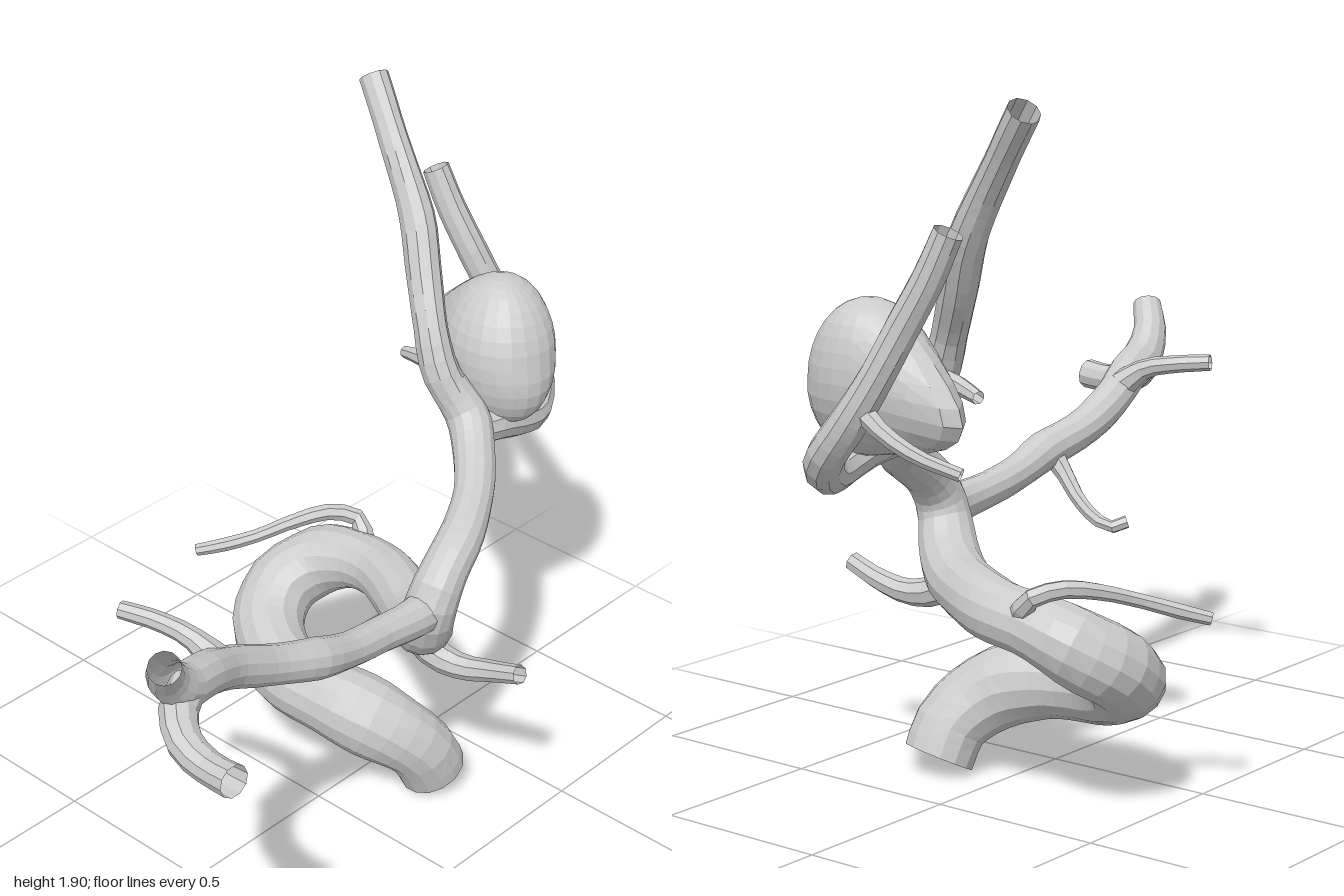
import * as THREE from 'three';

const material = new THREE.MeshStandardMaterial({ color: 0xcccccc, flatShading: true, side: THREE.DoubleSide });

// Gentle, repeatable surface unevenness
const ripple = (x, y, z) => Math.sin(23 * x + 5 * y) * Math.sin(19 * y + 4 * z) + Math.sin(21 * z + 7 * x);

// Open tube along points [x, y, z, radius], radius eased between points
function vessel(name, points, sides = 12, step = 0.045) {
  const curve = new THREE.CatmullRomCurve3(points.map(([x, y, z]) => new THREE.Vector3(x, y, z)));
  const rings = Math.max(4, Math.round(curve.getLength() / step));
  const geometry = new THREE.TubeGeometry(curve, rings, 1, sides, false);
  const pos = geometry.attributes.position;
  const v = new THREE.Vector3();
  for (let i = 0; i <= rings; i++) {
    const u = i / rings;
    const centre = curve.getPointAt(u);
    const t = curve.getUtoTmapping(u) * (points.length - 1);
    const k = Math.min(Math.floor(t), points.length - 2);
    const r = THREE.MathUtils.lerp(points[k][3], points[k + 1][3], t - k);
    for (let j = 0; j <= sides; j++) {
      const n = i * (sides + 1) + j;
      v.fromBufferAttribute(pos, n).sub(centre).multiplyScalar(r).add(centre);
      const swell = 1 + 0.035 * ripple(v.x, v.y, v.z);
      v.sub(centre).multiplyScalar(swell).add(centre);
      pos.setXYZ(n, v.x, v.y, v.z);
    }
  }
  geometry.computeVertexNormals();
  const mesh = new THREE.Mesh(geometry, material);
  mesh.name = name;
  return mesh;
}

// Bulging sac: an ellipsoid drawn out to a blunt point at the back
function sac() {
  const geometry = new THREE.SphereGeometry(1, 22, 16);
  const pos = geometry.attributes.position;
  const v = new THREE.Vector3();
  const tip = new THREE.Vector3(0.2, -0.25, -1).normalize();
  for (let i = 0; i < pos.count; i++) {
    v.fromBufferAttribute(pos, i);
    const pull = 0.19 * Math.pow(Math.max(0, v.dot(tip)), 4);
    const swell = 1 + 0.015 * ripple(v.x * 0.2, v.y * 0.2, v.z * 0.2);
    const lean = 0.025 * v.y; // upper part leans outward and back
    const low = 0.035 * Math.max(0, -v.y) * Math.max(0, v.z);
    v.set(v.x * 0.15 * swell + lean, v.y * 0.207 * swell, v.z * 0.17 * swell - lean + low);
    v.addScaledVector(tip, pull);
    pos.setXYZ(i, v.x, v.y, v.z);
  }
  geometry.computeVertexNormals();
  const mesh = new THREE.Mesh(geometry, material);
  mesh.name = 'sac';
  mesh.position.set(0.752, 1.16, 0);
  return mesh;
}

export function createModel() {
  const group = new THREE.Group();
  group.name = 'branchingVessel';

  group.add(
    // Thick looping stem that narrows into the left trunk and its tall branch
    vessel('loopingStem', [
      [0.285, 0.015, 0.18, 0.098], [0.24, 0.11, 0.165, 0.105], [0.16, 0.2, 0.08, 0.115],
      [0.115, 0.235, -0.05, 0.11], [0.105, 0.245, -0.17, 0.105], [0.13, 0.265, -0.29, 0.105],
      [0.2, 0.31, -0.39, 0.107], [0.3, 0.38, -0.425, 0.107], [0.385, 0.44, -0.37, 0.103],
      [0.415, 0.485, -0.25, 0.09], [0.405, 0.5, -0.13, 0.085], [0.35, 0.51, 0, 0.085],
      [0.27, 0.525, 0.12, 0.088], [0.2, 0.57, 0.21, 0.085], [0.155, 0.65, 0.26, 0.075],
      [0.165, 0.72, 0.275, 0.07],
      [0.22, 0.785, 0.27, 0.066], [0.32, 0.84, 0.245, 0.06], [0.43, 0.885, 0.185, 0.058],
      [0.53, 0.945, 0.1, 0.06], [0.585, 1.01, 0.03, 0.064], [0.565, 1.1, -0.03, 0.056],
    ], 14),
    vessel('tallBranch', [
      [0.575, 1.05, 0.0, 0.055], [0.555, 1.14, -0.05, 0.055], [0.57, 1.25, -0.1, 0.048], [0.615, 1.37, -0.17, 0.05],
      [0.66, 1.5, -0.235, 0.053], [0.685, 1.62, -0.31, 0.046], [0.715, 1.74, -0.4, 0.042],
      [0.745, 1.845, -0.485, 0.041],
    ], 10),
    sac(),
    // Branch that hooks under the sac and rises on its outer side
    vessel('hookedBranch', [
      [0.57, 0.98, 0.05, 0.05], [0.68, 0.965, 0.06, 0.055], [0.78, 0.935, 0.06, 0.05],
      [0.87, 0.925, 0.04, 0.052], [0.94, 0.975, -0.01, 0.052], [0.955, 1.08, -0.1, 0.05],
      [0.935, 1.2, -0.175, 0.044], [0.905, 1.32, -0.235, 0.044], [0.885, 1.44, -0.3, 0.042],
      [0.872, 1.56, -0.355, 0.04],
    ], 10),
    vessel('hookedBranchTwig', [
      [0.95, 1.13, -0.13, 0.03], [0.95, 1.07, -0.21, 0.022], [0.93, 1.02, -0.3, 0.02],
      [0.885, 0.98, -0.4, 0.018],
    ], 7),
    vessel('sacTwig', [
      [0.57, 1.14, -0.06, 0.03], [0.59, 1.13, -0.15, 0.024], [0.61, 1.11, -0.23, 0.018],
    ], 7),

    // Right trunk, ending in a fork
    vessel('rightTrunk', [
      [0.17, 0.68, 0.265, 0.06], [0.08, 0.685, 0.275, 0.057], [-0.05, 0.7, 0.275, 0.05],
      [-0.2, 0.725, 0.285, 0.052], [-0.32, 0.765, 0.29, 0.058], [-0.48, 0.815, 0.265, 0.053],
      [-0.62, 0.88, 0.265, 0.056], [-0.74, 0.935, 0.295, 0.058], [-0.84, 0.965, 0.32, 0.062],
      [-0.9, 1.03, 0.335, 0.05], [-0.955, 1.11, 0.385, 0.042],
    ]),
    vessel('forkLowerBranch', [
      [-0.8, 0.95, 0.31, 0.05], [-0.88, 0.925, 0.35, 0.05], [-0.925, 0.885, 0.42, 0.047],
      [-0.935, 0.865, 0.51, 0.045], [-0.94, 0.872, 0.6, 0.045],
    ], 10),
    vessel('upperTwig', [
      [-0.65, 0.91, 0.26, 0.045], [-0.675, 0.965, 0.19, 0.03], [-0.7, 0.985, 0.1, 0.026],
      [-0.74, 0.995, 0.0, 0.023],
    ], 8),
    vessel('lowerTwig', [
      [-0.34, 0.76, 0.28, 0.035], [-0.33, 0.7, 0.22, 0.024], [-0.29, 0.645, 0.14, 0.02],
      [-0.255, 0.605, 0.05, 0.019], [-0.255, 0.59, 0.0, 0.019], [-0.285, 0.605, -0.035, 0.019],
    ], 7),

    // Small branches of the stem
    vessel('frontTwig', [
      [0.22, 0.54, 0.16, 0.06], [0.23, 0.475, 0.22, 0.045], [0.25, 0.455, 0.31, 0.036],
      [0.265, 0.475, 0.4, 0.033], [0.265, 0.515, 0.51, 0.028],
    ], 8),
    vessel('rearTwig', [
      [0.455, 0.52, -0.24, 0.035], [0.485, 0.575, -0.29, 0.027], [0.43, 0.6, -0.35, 0.024],
      [0.34, 0.585, -0.41, 0.022], [0.24, 0.55, -0.475, 0.02], [0.17, 0.52, -0.545, 0.02],
      [0.12, 0.5, -0.605, 0.018],
    ], 7),
  );
  return group;
}
